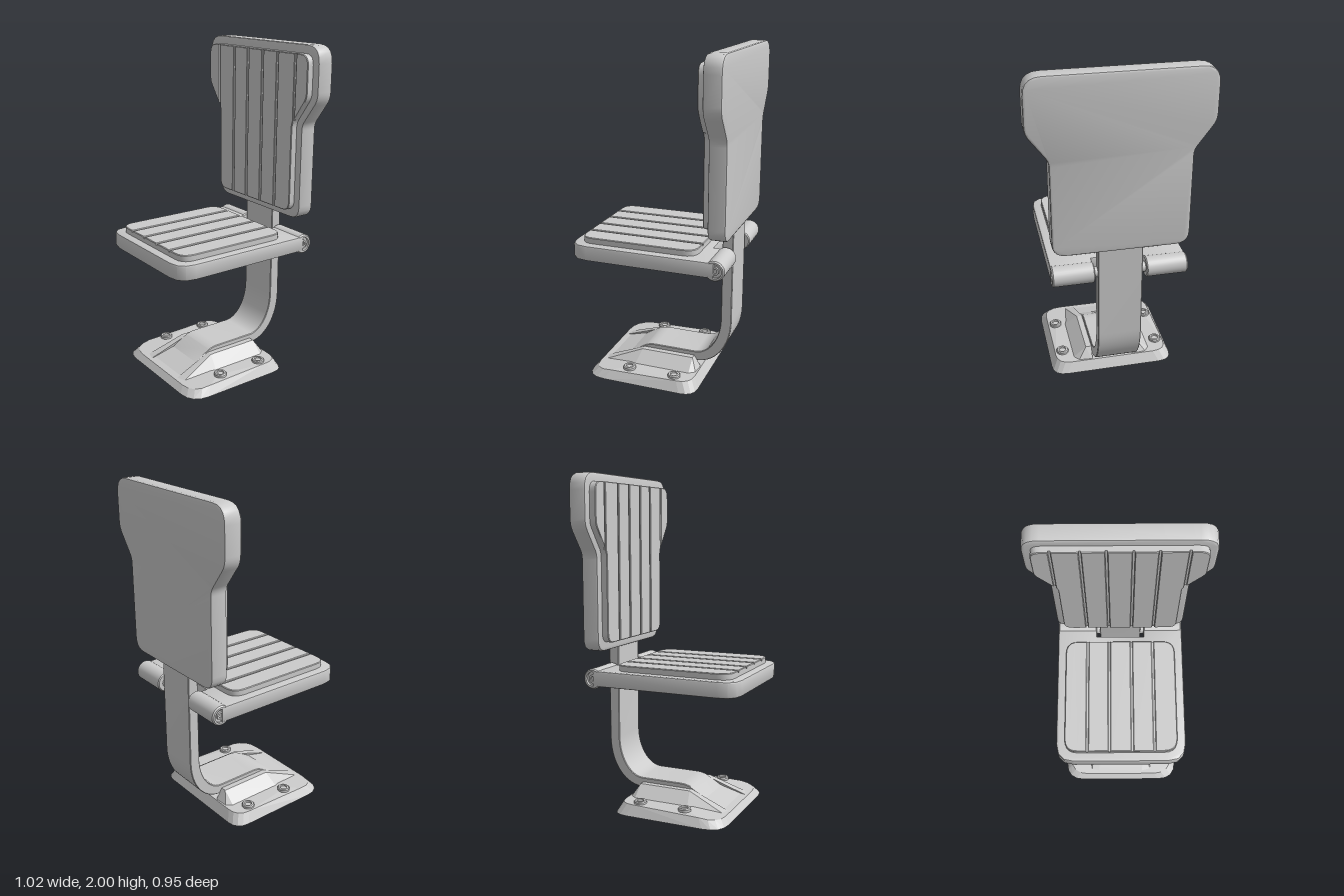
import * as THREE from 'three';
import { toCreasedNormals } from 'three/addons/utils/BufferGeometryUtils.js';
import { ConvexGeometry } from 'three/addons/geometries/ConvexGeometry.js';

const material = new THREE.MeshStandardMaterial({ color: 0xcccccc });

function add(parent, name, geometry) {
  const mesh = new THREE.Mesh(geometry, material);
  mesh.name = name;
  parent.add(mesh);
  return mesh;
}

// Closed outline with rounded corners from [x, y, radius] points
function roundedOutline(corners, segments = 5) {
  const n = corners.length, out = [];
  corners.forEach(([x, y, r], i) => {
    const c = new THREE.Vector2(x, y);
    const [px, py] = corners[(i + n - 1) % n], [nx, ny] = corners[(i + 1) % n];
    const a = new THREE.Vector2(px, py).sub(c).setLength(r).add(c);
    const b = new THREE.Vector2(nx, ny).sub(c).setLength(r).add(c);
    if (r > 0) out.push(...new THREE.QuadraticBezierCurve(a, c, b).getPoints(segments));
    else out.push(c);
  });
  return out;
}

// Mirror the right half of an outline (bottom to top, counter-clockwise)
const mirrored = half => [...half, ...half.slice().reverse().map(([x, y, r]) => [-x, y, r])];

// Keep the part of an outline on one side of the line x = limit
function clipX(points, limit, sign) {
  const out = [];
  points.forEach((p, i) => {
    const q = points[(i + 1) % points.length];
    const dp = (p.x - limit) * sign, dq = (q.x - limit) * sign;
    if (dp >= 0) out.push(p);
    if (dp * dq < 0) out.push(p.clone().lerp(q, dp / (dp - dq)));
  });
  return out;
}

// Slab of total thickness 'depth', from z = 0, with bevelled rims
function slab(points, depth, bevel, segments = 2) {
  const g = new THREE.ExtrudeGeometry(new THREE.Shape(points), {
    depth: depth - 2 * bevel, bevelEnabled: bevel > 0, bevelThickness: bevel,
    bevelSize: bevel, bevelOffset: -bevel, bevelSegments: segments,
  });
  g.translate(0, 0, bevel);
  return toCreasedNormals(g, 0.6);
}

// Cushion: a thin backing with raised panels separated by grooves
function groovedPad(name, points, depth, grooves) {
  const pad = new THREE.Group(), gap = 0.006;
  pad.name = name;
  add(pad, name + 'Backing', slab(points, depth - 0.012, 0));
  const edges = [-1, ...grooves, 1];
  for (let i = 0; i < edges.length - 1; i++) {
    const piece = clipX(clipX(points, edges[i] + gap, 1), edges[i + 1] - gap, -1);
    add(pad, name + 'Panel', slab(piece, depth, 0.004, 1));
  }
  return pad;
}

function lathe(profile, segments) {
  const g = new THREE.LatheGeometry(profile.map(p => new THREE.Vector2(...p)), segments);
  return toCreasedNormals(g, 0.6);
}

const hull = pts => new ConvexGeometry(pts.map(p => new THREE.Vector3(...p)));

function buildBackrest() {
  const group = new THREE.Group();
  group.name = 'backrest';
  const shell = roundedOutline(mirrored([
    [0.39, 0.97, 0.08], [0.39, 1.54, 0.03], [0.51, 1.7, 0.04], [0.51, 2, 0.1],
  ]));
  add(group, 'backrestShell', slab(shell, 0.105, 0.012)).position.z = -0.475;
  const cushion = roundedOutline(mirrored([
    [0.345, 1.02, 0.06], [0.345, 1.55, 0.03], [0.463, 1.71, 0.03], [0.463, 1.95, 0.06],
  ]));
  const pad = groovedPad('backrestPad', cushion, 0.042,
    [-0.36, -0.205, -0.07, 0.07, 0.205, 0.36]);
  pad.position.z = -0.372;
  group.add(pad);
  return group;
}

function buildSeat() {
  const group = new THREE.Group();
  group.name = 'seat';
  // Outline with a notch around the post; shape y is -z
  const board = roundedOutline(mirrored([
    [0.395, -0.48, 0.11], [0.395, 0.41, 0], [0.15, 0.41, 0], [0.15, 0.34, 0],
  ]), 3);
  const boardMesh = add(group, 'seatBoard', slab(board, 0.093, 0.01));
  boardMesh.rotation.x = -Math.PI / 2;
  boardMesh.position.y = 0.767;
  const cushion = roundedOutline(mirrored([[0.343, -0.427, 0.08], [0.343, 0.29, 0.08]]));
  const pad = groovedPad('seatPad', cushion, 0.038, [-0.205, -0.07, 0.07, 0.205]);
  pad.rotation.x = -Math.PI / 2;
  pad.position.y = 0.858;
  group.add(pad);

  // Hinge barrels with recessed ends, and the axle through the post
  const barrel = lathe([
    [0, 0.15], [0.054, 0.15], [0.06, 0.156], [0.06, 0.386], [0.053, 0.394], [0.042, 0.394],
    [0.042, 0.378], [0.026, 0.378], [0.026, 0.39], [0.014, 0.39], [0.014, 0.38], [0, 0.38],
  ], 28);
  for (const side of [-1, 1]) {
    const mesh = add(group, side > 0 ? 'leftHingeBarrel' : 'rightHingeBarrel', barrel);
    mesh.rotation.z = -side * Math.PI / 2;
    mesh.position.set(0, 0.811, -0.415);
  }
  const axle = add(group, 'hingeAxle', new THREE.CylinderGeometry(0.03, 0.03, 0.32, 20));
  axle.rotation.z = Math.PI / 2;
  axle.position.set(0, 0.811, -0.415);
  return group;
}

// Flat bar that rises behind the seat and bends forward onto the base
function buildPost() {
  const s = new THREE.Shape();
  s.moveTo(-0.45, 1.1);
  s.lineTo(-0.45, 0.39);
  s.bezierCurveTo(-0.45, 0.22, -0.35, 0.095, -0.23, 0.095);
  s.lineTo(0.1, 0.08);
  s.lineTo(0.2, 0.085);
  s.lineTo(0.1, 0.142);
  s.quadraticCurveTo(0.07, 0.155, 0.03, 0.155);
  s.lineTo(-0.23, 0.155);
  s.bezierCurveTo(-0.31, 0.16, -0.385, 0.26, -0.385, 0.4);
  s.lineTo(-0.385, 1.1);
  const g = new THREE.ExtrudeGeometry(s, {
    depth: 0.252, curveSegments: 14, bevelThickness: 0.004, bevelSize: 0.004,
    bevelOffset: -0.004, bevelSegments: 1,
  });
  g.rotateY(-Math.PI / 2).translate(0.126, 0, 0);
  return toCreasedNormals(g, 0.5);
}

function buildBase() {
  const group = new THREE.Group();
  group.name = 'base';
  // Foot plate: sloping rim, top falling away towards the front
  const ring = inset => roundedOutline(mirrored([
    [0.385 - inset, -0.3 + inset, 0.09], [0.385 - inset, 0.4 - inset, 0.12],
  ]), 4);
  const topY = z => (z > 0.16 ? 0.062 - (z - 0.16) * 0.125 : 0.062);
  const plate = [
    ...ring(0).map(p => [p.x, 0, p.y]),
    ...ring(0.032).map(p => [p.x, topY(p.y), p.y]),
    [0.3, 0.062, 0.16], [-0.3, 0.062, 0.16],
  ];
  add(group, 'footPlate', hull(plate));

  // Ridges either side of the bar
  for (const s of [-1, 1]) {
    add(group, s > 0 ? 'leftRidge' : 'rightRidge', hull([
      [0.13 * s, 0.128, -0.22], [0.165 * s, 0.128, -0.22],
      [0.13 * s, 0.128, 0.11], [0.165 * s, 0.128, 0.11],
      [0.13 * s, 0.04, -0.275], [0.23 * s, 0.04, -0.268],
      [0.25 * s, 0.055, -0.22], [0.25 * s, 0.055, 0.13],
      [0.15 * s, 0.03, 0.37], [0.21 * s, 0.03, 0.36],
    ]));
  }
  // Sloping panel in front of the bar
  const ramp = [];
  for (const s of [-1, 1]) {
    ramp.push([0.13 * s, 0.03, -0.1], [0.13 * s, 0.09, -0.1], [0.13 * s, 0.086, 0.19],
      [0.15 * s, 0.036, 0.34], [0.15 * s, 0.02, 0.34]);
  }
  add(group, 'frontRamp', hull(ramp));

  // Bolts with sunken heads
  const bolt = lathe([
    [0.038, 0], [0.038, 0.014], [0.033, 0.02], [0.022, 0.02], [0.02, 0.012], [0, 0.012],
  ], 18);
  for (const x of [-0.305, 0.305]) {
    for (const z of [-0.15, 0.14]) add(group, 'bolt', bolt).position.set(x, 0.06, z);
  }
  return group;
}

export function createModel() {
  const model = new THREE.Group();
  model.name = 'pedestalChair';
  model.add(buildBackrest(), buildSeat(), buildBase());
  add(model, 'post', buildPost());
  return model;
}
